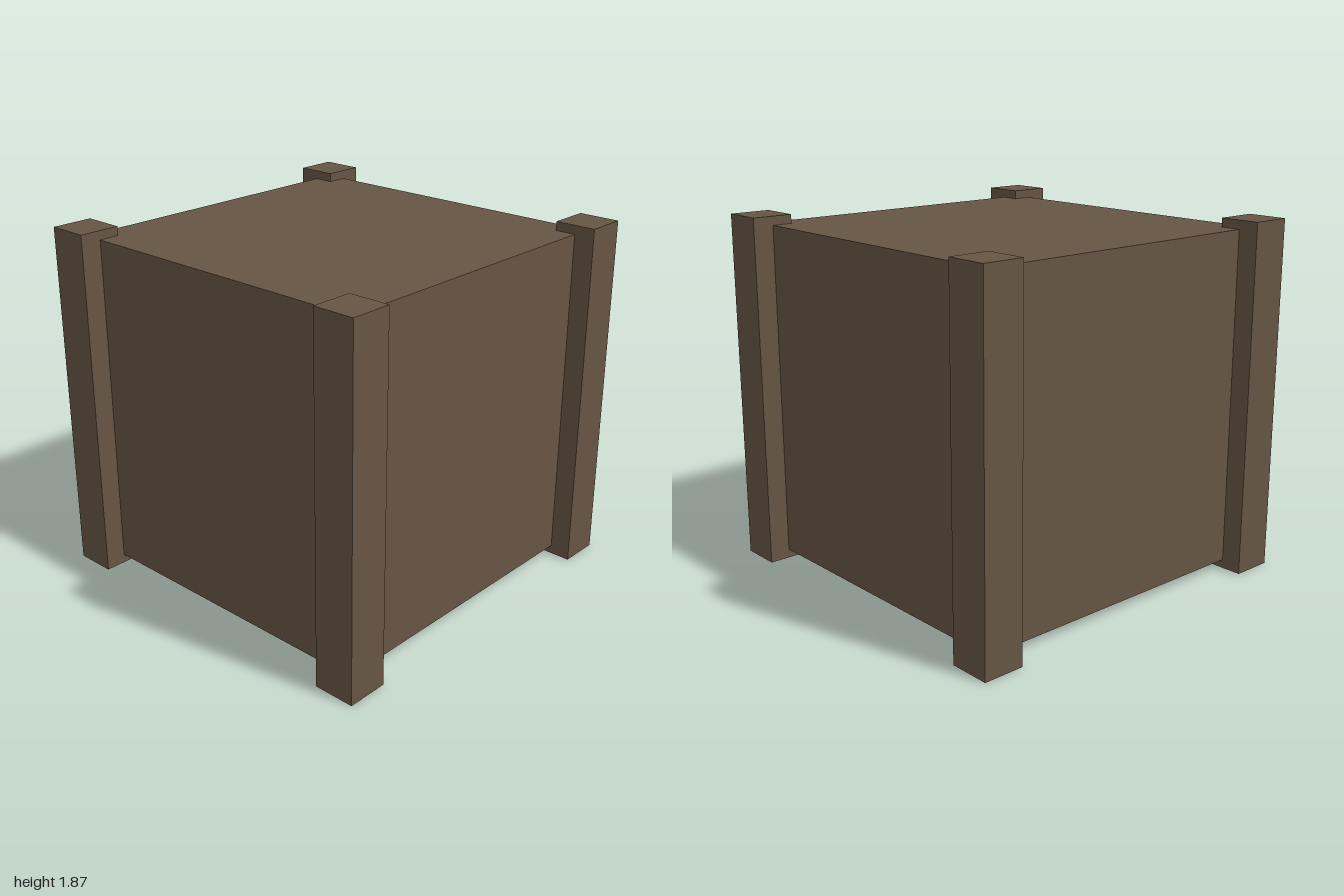
import * as THREE from 'three';

export function createModel() {
  const group = new THREE.Group();
  const wood = new THREE.MeshStandardMaterial({ color: 0x665544 });
  wood.name = 'brownWood';

  const height = 1.872;
  const bodySize = 1.778;
  const postSize = 0.222;

  function addBox(name, w, h, d, x, y, z) {
    const mesh = new THREE.Mesh(new THREE.BoxGeometry(w, h, d), wood);
    mesh.name = name;
    mesh.position.set(x, y, z);
    group.add(mesh);
  }

  // Cubic crate body, raised slightly off the ground
  addBox('crateBody', bodySize, bodySize, bodySize, 0, height / 2, 0);

  // Square corner posts, standing proud of the body on every side
  const offset = 1 - postSize / 2;
  for (const [side, sx] of [['Left', 1], ['Right', -1]]) {
    for (const [end, sz] of [['front', 1], ['back', -1]]) {
      addBox(`${end}${side}Post`, postSize, height, postSize, sx * offset, height / 2, sz * offset);
    }
  }

  return group;
}
